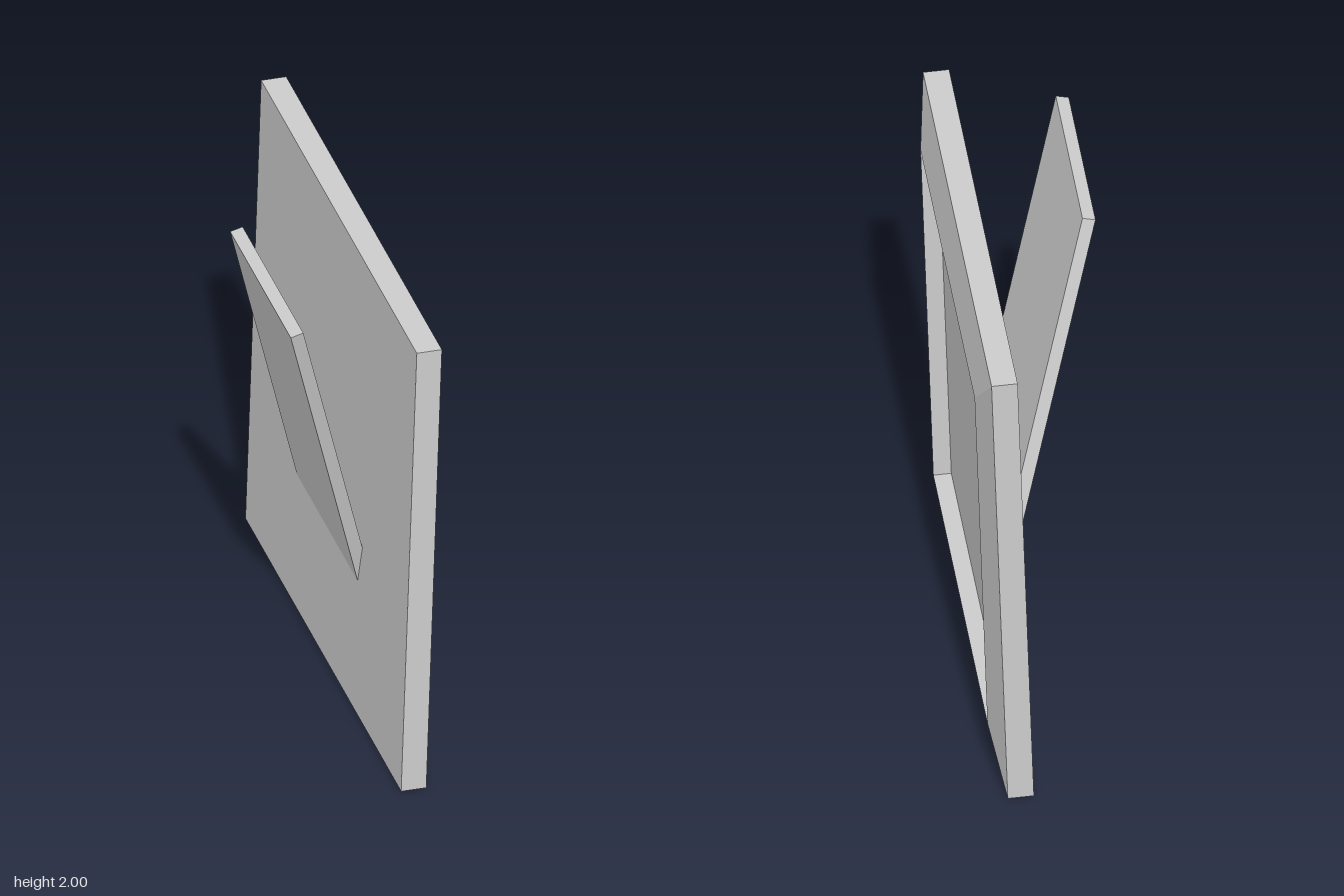
import * as THREE from 'three';

const grey = new THREE.MeshStandardMaterial({ color: 0xcccccc, flatShading: true });

function addPart(group, name, geometry) {
  const flat = geometry.index ? geometry.toNonIndexed() : geometry;
  flat.computeVertexNormals();
  const mesh = new THREE.Mesh(flat, grey);
  mesh.name = name;
  group.add(mesh);
  return mesh;
}

export function createModel() {
  const model = new THREE.Group();
  model.name = 'pictureFrame';

  // Frame: half-width and depth profile, swept around a square.
  // Back, outer edge, sloping moulding, recess wall, picture panel.
  const profile = [[0, 0], [0.988, 0], [0.988, 0.1], [0.78, 0.144], [0.78, 0.075], [0, 0.075]]
    .map(([w, d]) => new THREE.Vector2(w * Math.SQRT2, d));
  const frameGeometry = new THREE.LatheGeometry(profile, 4, Math.PI / 4);
  frameGeometry.rotateZ(-Math.PI / 2); // depth now runs along +x
  frameGeometry.scale(1, 1.003, 1);
  const frame = addPart(model, 'frame', frameGeometry);
  frame.position.set(0.111, 0.993, 0);
  frame.rotation.z = THREE.MathUtils.degToRad(-1.8);

  // Stand: a slanted, skewed plate whose lower end is sunk in the frame's back.
  const thickness = new THREE.Vector3(0.05, 0.012, 0);
  const length = new THREE.Vector3(-0.384, 1.418, 0.373);
  const width = new THREE.Vector3(0, 0, 0.77);
  const centre = new THREE.Vector3(-0.26, 1.994, 0.365).addScaledVector(length, -0.5);
  const skew = new THREE.Matrix4().makeBasis(thickness, length, width).setPosition(centre);
  addPart(model, 'stand', new THREE.BoxGeometry(1, 1, 1).applyMatrix4(skew));

  return model;
}
